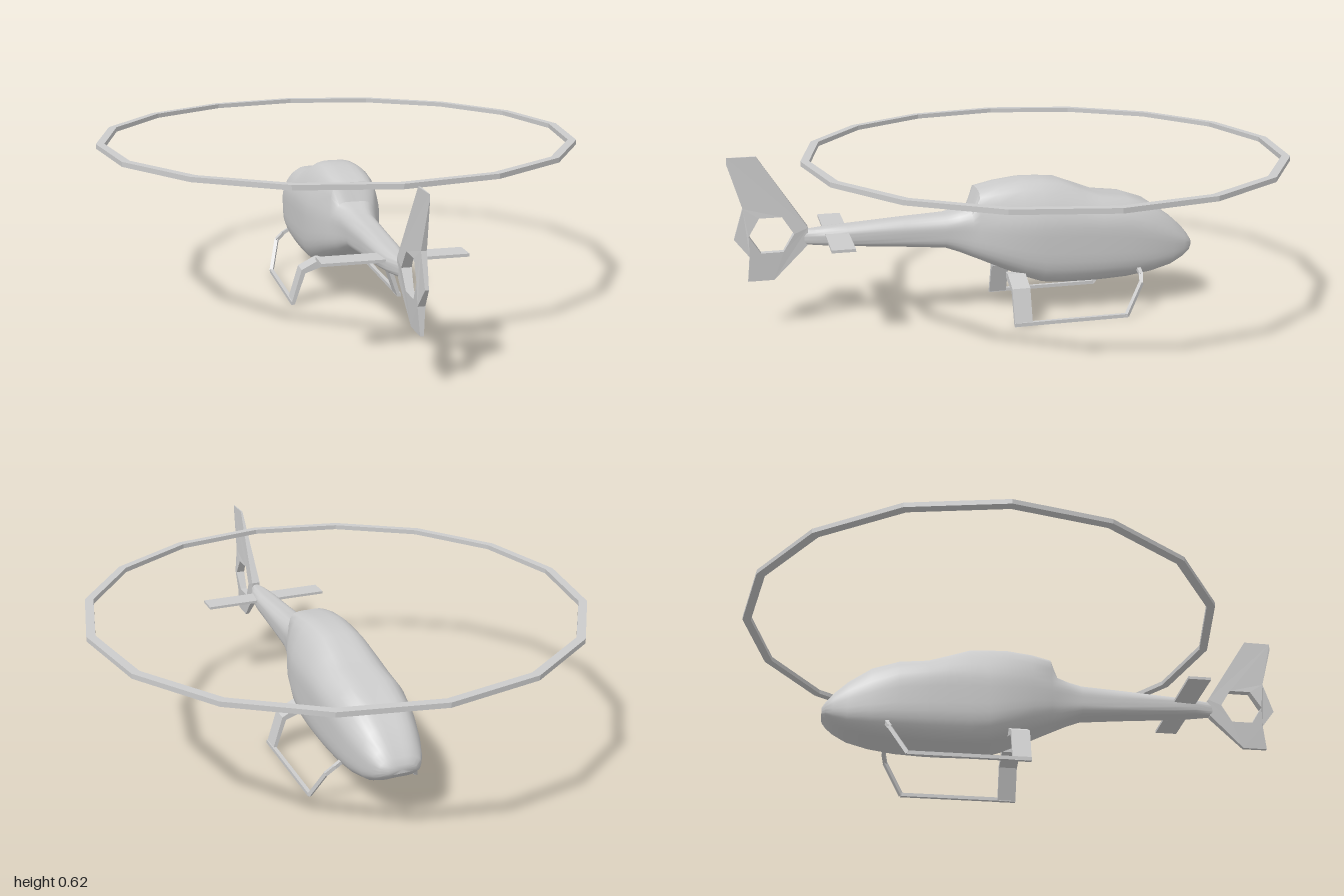
import * as THREE from 'three';
import { toCreasedNormals } from 'three/addons/utils/BufferGeometryUtils.js';

const grey = new THREE.MeshStandardMaterial({ color: 0xcccccc });
const greyFlat = new THREE.MeshStandardMaterial({ color: 0xcccccc, flatShading: true });
const V = (x, y, z) => new THREE.Vector3(x, y, z);

function add(parent, name, geometry, material = greyFlat) {
  const mesh = new THREE.Mesh(geometry, material);
  mesh.name = name;
  parent.add(mesh);
  return mesh;
}

// Square bar between two points
function bar(parent, name, a, b, w, h) {
  const mesh = add(parent, name, new THREE.BoxGeometry(w, h, a.distanceTo(b) + 0.004));
  mesh.position.copy(a).lerp(b, 0.5);
  mesh.lookAt(b);
}

// Closed cross-section: flat belly, bulged sides, shoulder, narrower roof
function section([z, bottom, top, w, shoulder, roof], count) {
  const h = shoulder - bottom;
  const half = [
    [0.62 * w, bottom + 0.01 * h], [0.92 * w, bottom + 0.2 * h], [w, bottom + 0.6 * h],
    [0.96 * w, shoulder], [roof, top - 0.1 * (top - shoulder)],
  ];
  const pts = [V(0, bottom, z), ...half.map(([x, y]) => V(x, y, z)), V(0, top, z),
    ...half.reverse().map(([x, y]) => V(-x, y, z))];
  const curve = new THREE.CatmullRomCurve3(pts, true, 'centripetal');
  return Array.from({ length: count }, (_, j) => curve.getPoint(j / count));
}

// Skin over a row of cross-sections, with closed ends
function loft(stations, count) {
  const rings = stations.map((s) => section(s, count));
  const pos = [], index = [];
  rings.flat().forEach((p) => pos.push(p.x, p.y, p.z));
  const last = (rings.length - 1) * count, nose = rings.length * count;
  for (const s of [stations[0], stations[stations.length - 1]]) pos.push(0, (s[1] + s[2]) / 2, s[0]);
  for (let j = 0; j < count; j++) {
    const k = (j + 1) % count;
    for (let i = 0; i < last; i += count) {
      index.push(i + j, i + k, i + count + j, i + k, i + count + k, i + count + j);
    }
    index.push(nose, k, j, nose + 1, last + j, last + k);
  }
  const g = new THREE.BufferGeometry();
  g.setAttribute('position', new THREE.Float32BufferAttribute(pos, 3));
  g.setIndex(index);
  return toCreasedNormals(g, 0.75);
}

export function createModel() {
  const model = new THREE.Group();
  model.name = 'helicopter';

  // Cabin, engine cowling and tail boom: z, bottom, top, half width, shoulder y, roof half width
  add(model, 'fuselage', loft([
    [-0.69, 0.205, 0.235, 0.05, 0.225, 0.03],
    [-0.675, 0.19, 0.255, 0.075, 0.235, 0.045],
    [-0.65, 0.17, 0.285, 0.09, 0.25, 0.055],
    [-0.6, 0.145, 0.33, 0.108, 0.275, 0.068],
    [-0.52, 0.127, 0.385, 0.127, 0.31, 0.078],
    [-0.425, 0.116, 0.417, 0.137, 0.345, 0.082],
    [-0.32, 0.112, 0.43, 0.14, 0.36, 0.08],
    [-0.25, 0.112, 0.458, 0.14, 0.37, 0.074],
    [-0.17, 0.114, 0.49, 0.139, 0.375, 0.07],
    [-0.1, 0.121, 0.496, 0.137, 0.375, 0.07],
    [-0.03, 0.146, 0.497, 0.133, 0.375, 0.072],
    [0.06, 0.185, 0.485, 0.115, 0.375, 0.072],
    [0.13, 0.215, 0.47, 0.09, 0.37, 0.066],
    [0.155, 0.225, 0.405, 0.079, 0.365, 0.05],
    [0.2, 0.244, 0.393, 0.066, 0.36, 0.038],
    [0.25, 0.262, 0.383, 0.057, 0.35, 0.032],
    [0.4, 0.275, 0.376, 0.05, 0.348, 0.028],
    [0.6, 0.291, 0.364, 0.044, 0.345, 0.025],
    [0.68, 0.298, 0.36, 0.036, 0.342, 0.02],
    [0.75, 0.303, 0.356, 0.014, 0.34, 0.008],
  ], 40), grey);

  // Tail fin: outline in (z, y) with a six-sided opening, thinning to its tips
  const fin = new THREE.Shape([
    [0.735, 0.365], [0.74, 0.3], [0.86, 0.18], [0.95, 0.18], [0.94, 0.27], [0.99, 0.335],
    [0.955, 0.445], [1, 0.6], [1, 0.625], [0.9, 0.625],
  ].map(([z, y]) => new THREE.Vector2(z, y)));
  fin.holes.push(new THREE.Path(Array.from({ length: 6 }, (_, i) => {
    const a = -i * Math.PI / 3;
    return new THREE.Vector2(0.862 + 0.078 * Math.cos(a), 0.345 + 0.073 * Math.sin(a));
  })));
  const finGeo = new THREE.ExtrudeGeometry(fin, { depth: 2, bevelEnabled: false });
  finGeo.translate(0, 0, -1).rotateY(-Math.PI / 2);
  const p = finGeo.attributes.position;
  for (let i = 0; i < p.count; i++) {
    const t = THREE.MathUtils.clamp(1 - Math.abs(p.getY(i) - 0.35) / 0.28, 0.2, 1);
    const edge = THREE.MathUtils.clamp((1.02 - p.getZ(i)) / 0.08, 0.3, 1);
    p.setX(i, p.getX(i) * 0.017 * t * edge);
  }
  finGeo.computeVertexNormals();
  add(model, 'tailFin', finGeo);

  // Stabiliser across the boom
  add(model, 'stabiliser', new THREE.BoxGeometry(0.485, 0.01, 0.082)).position.set(0, 0.338, 0.637);

  // Rotor ring with sixteen sides
  const ring = [[0.845, 0.583], [0.875, 0.583], [0.875, 0.6], [0.845, 0.6], [0.845, 0.583]];
  add(model, 'rotorRing', new THREE.LatheGeometry(
    ring.map(([r, y]) => new THREE.Vector2(r, y)), 16)).position.z = -0.125;

  // Landing gear: broad rear leg, rail and bent front strut on each side
  for (const s of [1, -1]) {
    const gear = new THREE.Group();
    gear.name = s > 0 ? 'leftLandingGear' : 'rightLandingGear';
    model.add(gear);

    const leg = new THREE.Shape([
      [0.07, 0.165], [0.07, 0.145], [0.155, 0.117], [0.196, 0], [0.209, 0], [0.169, 0.13], [0.1, 0.165],
    ].map(([x, y]) => new THREE.Vector2(s * x, y)));
    const legGeo = new THREE.ExtrudeGeometry(leg, { depth: 0.066, bevelEnabled: false });
    add(gear, 'rearLeg', legGeo.translate(0, 0, -0.031));

    const path = [V(0.1, 0.165, -0.458), V(0.14, 0.14, -0.46), V(0.168, 0.115, -0.452),
      V(0.202, 0.007, -0.388), V(0.202, 0.007, 0.033)];
    path.forEach((q) => { q.x *= s; });
    for (let i = 0; i < 4; i++) {
      bar(gear, i < 3 ? 'frontStrut' : 'skidRail', path[i], path[i + 1], 0.014, 0.013);
    }
  }
  return model;
}
